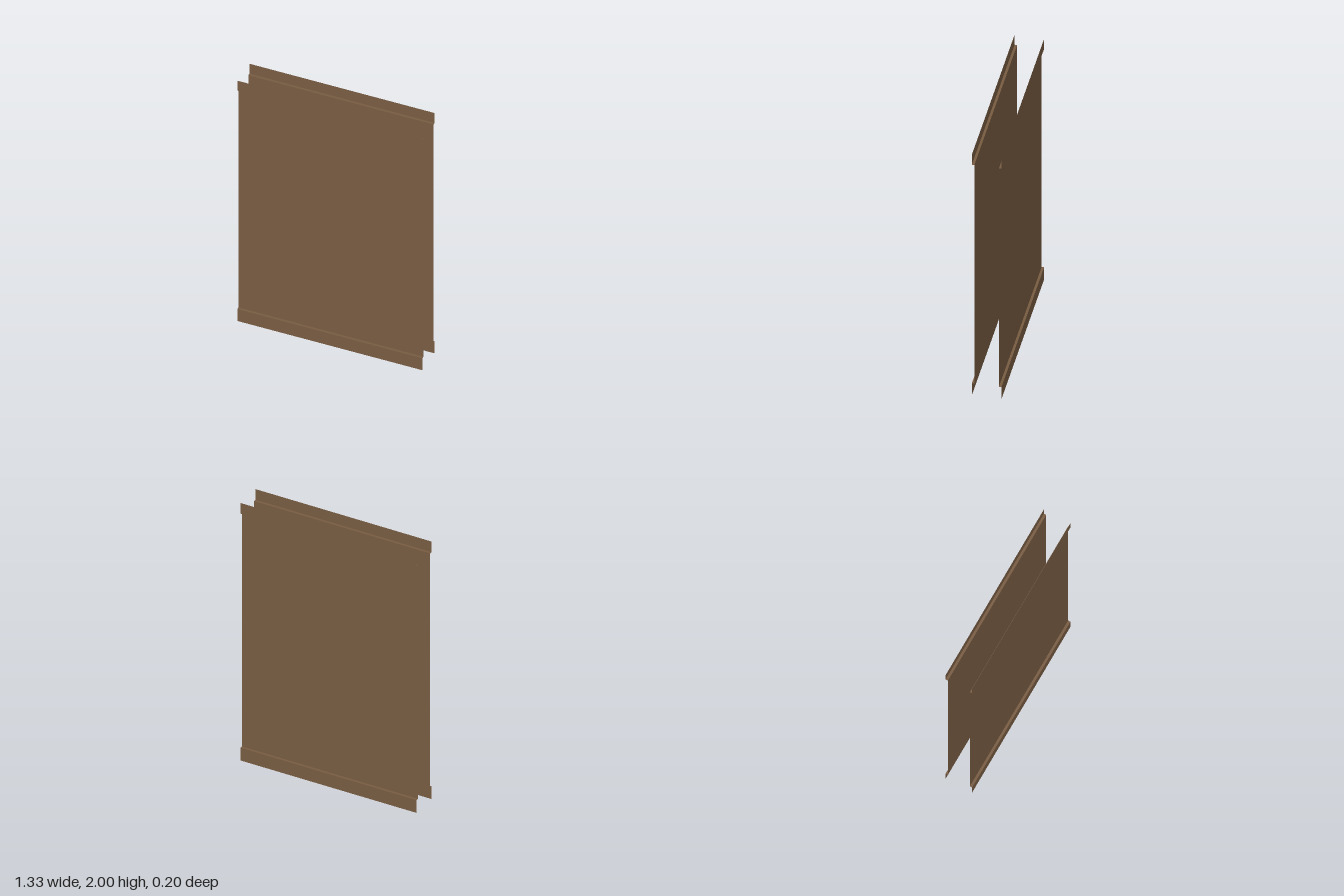
import * as THREE from 'three';

const HALF_WIDTH = 0.667;
const INNER = 0.083; // depth of the recessed panel
const OUTER = 0.1; // depth of the projecting rails

export function createModel() {
  const model = new THREE.Group();
  model.name = 'steppedPanels';
  const wood = new THREE.MeshStandardMaterial({ color: 0x785c42, side: THREE.DoubleSide });
  wood.name = 'brown wood';

  // Vertical sheet between two heights, facing outward
  function sheet(name, y0, y1, z, parent) {
    const mesh = new THREE.Mesh(new THREE.PlaneGeometry(HALF_WIDTH * 2, y1 - y0), wood);
    mesh.position.set(0, (y0 + y1) / 2, z);
    mesh.name = name;
    parent.add(mesh);
  }

  // Narrow horizontal sheet joining panel and rail
  function ledge(name, y, facing, parent) {
    const mesh = new THREE.Mesh(new THREE.PlaneGeometry(HALF_WIDTH * 2, OUTER - INNER), wood);
    mesh.rotation.x = -facing * Math.PI / 2;
    mesh.position.set(0, y, (INNER + OUTER) / 2);
    mesh.name = name;
    parent.add(mesh);
  }

  // Two identical open sheets, back to back
  for (const [name, turn] of [['frontPanel', 0], ['backPanel', Math.PI]]) {
    const side = new THREE.Group();
    side.name = name;
    side.rotation.y = turn;
    sheet('bottomRail', 0, 0.1, OUTER, side);
    ledge('bottomLedge', 0.1, 1, side);
    sheet('panel', 0.1, 1.917, INNER, side);
    ledge('topLedge', 1.917, -1, side);
    sheet('topRail', 1.917, 2, OUTER, side);
    model.add(side);
  }
  return model;
}
